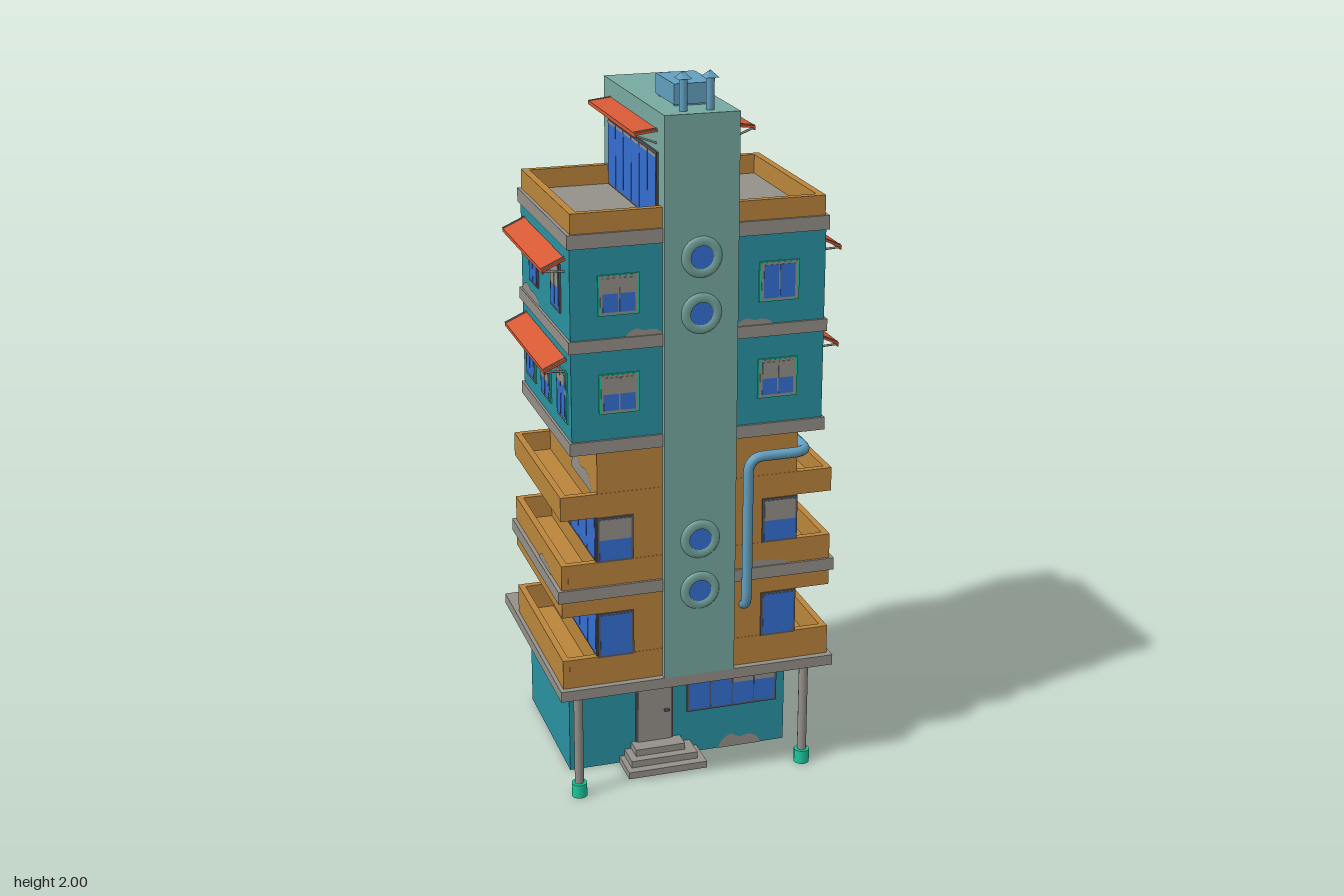
import * as THREE from 'three';

const mat = (name, color, side = THREE.FrontSide) => {
  const m = new THREE.MeshStandardMaterial({ color, side });
  m.name = name;
  return m;
};

export function createModel() {
  const orange = mat('ochre plaster', 0xbb863c);
  const teal = mat('teal plaster', 0x2a92a2, THREE.DoubleSide);
  const grey = mat('concrete', 0x95918a, THREE.DoubleSide);
  const sage = mat('pale sage plaster', 0x78aaa1);
  const red = mat('awning red', 0xd65a35);
  const glass = mat('window blue', 0x356fd2);
  const steel = mat('blue metal', 0x62a0c0);
  const green = mat('bright green', 0x1bc99c);
  const dark = mat('dark frame', 0x5a5a60);
  const deepBlue = mat('deep blue', 0x1236cc);

  const model = new THREE.Group();
  model.name = 'apartmentTower';

  const add = (name, geo, material, parent = model) => {
    const m = new THREE.Mesh(geo, material);
    m.name = name;
    parent.add(m);
    return m;
  };
  // Box given by its limits on each axis
  const box = (name, material, x0, x1, y0, y1, z0, z1, parent = model) => {
    const m = add(name, new THREE.BoxGeometry(x1 - x0, y1 - y0, z1 - z0), material, parent);
    m.position.set((x0 + x1) / 2, (y0 + y1) / 2, (z0 + z1) / 2);
    return m;
  };
  const group = (name, x, y, z, turn = 0) => {
    const g = new THREE.Group();
    g.name = name;
    g.position.set(x, y, z);
    g.rotation.y = turn;
    model.add(g);
    return g;
  };
  // Window facing its local +z; curtains holds the covered fraction of each pane
  const makeWindow = (name, x, y, z, turn, w, h, curtains, frame = dark, trim = null) => {
    const g = group(name, x, y, z, turn);
    if (trim) box('windowTrim', trim, -w / 2 - 0.006, w / 2 + 0.006, -h / 2 - 0.003, h / 2 + 0.003, -0.003, 0.003, g);
    box('windowFrame', frame, -w / 2, w / 2, -h / 2, h / 2, -0.004, 0.004, g);
    const n = curtains.length, step = (w - 0.008) / n;
    curtains.forEach((c, i) => {
      const a = -w / 2 + 0.006 + i * step, b = a + step - 0.004;
      const low = -h / 2 + 0.006, top = h / 2 - 0.006;
      box('pane', glass, a, b, low, top, -0.005, 0.005, g);
      if (c) box('curtain', grey, a, b, top - c * (top - low), top, -0.0058, 0.0058, g);
    });
    return g;
  };
  // Bare patch of wall with an uneven upper edge
  const patch = (x, y, z, turn, w, h) => {
    const s = new THREE.Shape();
    s.moveTo(-w / 2, 0);
    s.lineTo(w / 2, 0);
    s.splineThru([[0.4, 0.55], [0.2, 0.8], [0, 0.7], [-0.2, 1], [-0.4, 0.6], [-0.5, 0]]
      .map(([a, b]) => new THREE.Vector2(a * w, b * h)));
    const m = add('barePatch', new THREE.ShapeGeometry(s), grey);
    m.position.set(x, y, z);
    m.rotation.y = turn;
  };
  const R = Math.PI / 2, Z0 = -0.215, Z1 = 0.304;

  // Ground floor walls, open underneath
  const walls = new THREE.BoxGeometry(0.64, 0.32, 0.45);
  const faces = [...walls.index.array];
  faces.splice(18, 6);
  walls.setIndex(faces);
  walls.clearGroups();
  add('groundFloorWalls', walls, teal).position.set(0, 0.16, -0.095);
  box('groundFloorSlab', grey, -0.39, 0.39, 0.32, 0.35, -0.343, 0.322);

  // Columns with green feet
  for (const x of [-0.33, 0.325]) {
    add('column', new THREE.CylinderGeometry(0.013, 0.013, 0.32, 12), grey).position.set(x, 0.16, 0.27);
    add('columnFoot', new THREE.CylinderGeometry(0.022, 0.022, 0.04, 12), green).position.set(x, 0.02, 0.27);
  }

  // Entrance
  [[-0.175, 0.055, 0.23], [-0.16, 0.035, 0.205], [-0.14, 0.005, 0.18]].forEach(([a, b, z], i) =>
    box('step', grey, a, b, i * 0.02, (i + 1) * 0.02, 0.13, z));
  box('doorFrame', dark, -0.127, -0.017, 0.06, 0.247, 0.125, 0.135);
  box('door', grey, -0.12, -0.024, 0.06, 0.24, 0.123, 0.138);
  box('doorHandle', dark, -0.044, -0.03, 0.15, 0.156, 0.138, 0.147);
  makeWindow('shopWindow', 0.16, 0.195, 0.131, 0, 0.27, 0.125, [0, 0, 0.4, 0.4], dark);
  makeWindow('sideWindow', 0.321, 0.19, 0.06, R, 0.062, 0.12, [0.4, 0], grey);
  makeWindow('backStripWindow', -0.15, 0.2, -0.321, Math.PI, 0.25, 0.12, [0.3, 0.3, 0.3, 0.3, 0.3], dark);
  box('hangingPanelFrame', dark, 0.343, 0.356, 0.05, 0.278, -0.197, -0.12);
  box('hangingPanel', deepBlue, 0.342, 0.358, 0.058, 0.27, -0.19, -0.127);
  for (const y of [0.09, 0.24]) box('panelBracket', dark, 0.32, 0.345, y, y + 0.006, -0.162, -0.155);

  // Central tower
  box('coreTower', sage, -0.1, 0.1, 0.35, 1.9, -0.237, 0.322);
  for (const [z, s] of [[0.322, 1], [-0.237, -1]]) for (const y of [0.6, 0.75, 1.38, 1.53]) {
    const g = group('porthole', 0, y, z, s > 0 ? 0 : Math.PI);
    const ring = new THREE.LatheGeometry([[0.031, 0], [0.031, 0.007], [0.05, 0.007], [0.055, 0]]
      .map(p => new THREE.Vector2(...p)).reverse(), 28);
    add('portholeRing', ring, sage, g).rotation.x = R;
    add('portholeGlass', new THREE.CircleGeometry(0.031, 28), glass, g).position.z = 0.003;
  }

  // Lower residential body and its balconies
  box('lowerBody', orange, -0.279, 0.279, 0.35, 1.02, Z0, Z1);
  box('balconyBand', grey, -0.39, 0.39, 0.605, 0.64, Z0 - 0.007, Z1 + 0.007);
  const t = 0.018;
  for (const s of [-1, 1]) {
    const lim = (a, b) => s > 0 ? [a, b] : [-b, -a];
    for (const [base, floor, top] of [[0.35, 0.36, 0.433], [0.56, 0.645, 0.71], [0.838, 0.85, 0.905]]) {
      box('balconyFloor', orange, ...lim(0.27, 0.379), base, floor, Z0, Z1);
      box('balconyRail', orange, ...lim(0.379 - t, 0.379), floor, top, Z0, Z1);
      box('balconyEnd', orange, ...lim(0.1, 0.379 - t), floor, top, Z1 - t, Z1 + 0.001);
      box('balconyEnd', orange, ...lim(0.1, 0.379 - t), floor, top, Z0 - 0.001, Z0 + t);
    }
    // Corner glazing
    [[0.495, 0.13, [0, 0, 0, 0.12, 0.3, 0.4], 0], [0.773, 0.128, [0, 0, 0.12, 0, 0, 0.5], 0.5]].forEach(([y, h, c, f]) => {
      makeWindow('balconyWindow', s * 0.28, y, 0.0445, s * R, 0.51, h, s > 0 ? c : [...c].reverse());
      makeWindow('cornerWindow', s * 0.231, y, Z1, 0, 0.1, h, [f]);
      makeWindow('cornerWindow', s * 0.231, y, Z0, Math.PI, 0.1, h, [f]);
    });
  }

  // Upper block with concrete bands
  box('upperBlock', teal, -0.345, 0.345, 1.03, 1.6, Z0, Z1);
  for (const [a, b] of [[1.02, 1.055], [1.297, 1.33], [1.572, 1.61]])
    box('concreteBand', grey, -0.352, 0.352, a, b, Z0 - 0.007, Z1 + 0.007);

  // Roof parapet
  for (const s of [-1, 1]) box('parapetSide', orange, s * 0.332 - 0.01, s * 0.332 + 0.01, 1.61, 1.663, Z0, Z1);
  for (const z of [Z0 + 0.01, Z1 - 0.01]) box('parapetEnd', orange, -0.325, 0.325, 1.61, 1.663, z - 0.01, z + 0.01);

  // Upper windows on front, back and both sides
  for (const s of [-1, 1]) {
    for (const [y, c] of [[1.445, s < 0 ? [0.45, 0.45] : [0, 0]], [1.18, [0.5, 0.5]]]) {
      makeWindow('frontWindow', s * 0.217, y, Z1 + 0.001, 0, 0.098, 0.102, c, grey, green);
      makeWindow('backWindow', s * 0.217, y, Z0 - 0.001, Math.PI, 0.098, 0.102, c, grey, green);
    }
    for (const [z, c] of [[0.17, 0.5], [-0.067, 0.5]])
      makeWindow('sideWindow', s * 0.346, 1.445, z, s * R, 0.092, 0.13, [c, c], dark);
    for (const [z, c] of [[0.218, 0.25], [0.045, 0.65], [-0.123, 0.3]])
      makeWindow('sideWindow', s * 0.346, 1.165, z, s * R, 0.092, 0.135, [c, c], grey, green);
    makeWindow('penthouseWindow', s * 0.101, 1.705, 0.045, s * R, 0.455, 0.185, [0.05, 0.05, 0.05, 0.05, 0.05, 0.05], dark);
  }

  // Awnings: sloping sheet with a rod at each end
  const awning = (s, x, y, reach, drop) => {
    const g = group('awning', s * x, y, 0.042, s > 0 ? 0 : Math.PI);
    if (s < 0) g.position.z = 0.042;
    const sheet = add('awningSheet', new THREE.BoxGeometry(Math.hypot(reach, drop), 0.006, 0.446), red, g);
    sheet.position.set(reach / 2, -drop / 2, 0);
    sheet.rotation.z = -Math.atan2(drop, reach);
    box('awningLip', red, reach - 0.004, reach, -drop - 0.008, -drop + 0.002, -0.223, 0.223, g);
    for (const z of [-0.212, 0.212]) {
      const curve = new THREE.LineCurve3(new THREE.Vector3(0, -0.034, z), new THREE.Vector3(reach - 0.002, -drop - 0.004, z));
      add('awningStrut', new THREE.TubeGeometry(curve, 1, 0.003, 6), grey, g);
      const rod = add('awningRod', new THREE.BoxGeometry(Math.hypot(reach, drop), 0.002, 0.006), grey, g);
      rod.position.set(reach / 2, -drop / 2 + 0.004, z);
      rod.rotation.z = sheet.rotation.z;
    }
  };
  for (const s of [-1, 1]) {
    awning(s, 0.345, 1.537, 0.06, 0.027);
    awning(s, 0.345, 1.269, 0.06, 0.027);
    awning(s, 0.1, 1.851, 0.06, 0.007);
  }

  // Drain pipes, the second turned half way round the building
  const path = new THREE.CurvePath();
  const pts = [[0.302, 1.025, 0.16], [0.302, 0.97, 0.17], [0.302, 0.97, 0.328], [0.132, 0.97, 0.328],
    [0.132, 0.545, 0.328], [0.132, 0.53, 0.295]].map(p => new THREE.Vector3(...p));
  let from = pts[0];
  for (let i = 1; i < pts.length - 1; i++) {
    const cut = (q) => pts[i].clone().lerp(q, Math.min(0.45, 0.045 / pts[i].distanceTo(q)));
    const a = cut(pts[i - 1]), b = cut(pts[i + 1]);
    path.add(new THREE.LineCurve3(from, a));
    path.add(new THREE.QuadraticBezierCurve3(a, pts[i], b));
    from = b;
  }
  path.add(new THREE.LineCurve3(from, pts[pts.length - 1]));
  const pipe = new THREE.TubeGeometry(path, 120, 0.014, 10);
  add('drainPipe', pipe, steel);
  const backPipe = add('drainPipe', pipe, steel);
  backPipe.rotation.y = Math.PI;
  backPipe.position.z = 0.089;

  // Rooftop unit and chimneys
  box('rooftopUnit', steel, -0.045, 0.061, 1.905, 1.958, 0.064, 0.225);
  for (const z of [0.075, 0.2]) box('unitFoot', steel, -0.04, 0.056, 1.9, 1.906, z, z + 0.015);
  for (const x of [-0.038, 0.033]) {
    add('chimney', new THREE.CylinderGeometry(0.011, 0.011, 0.085, 10), steel).position.set(x, 1.9425, 0.28);
    const cap = add('chimneyCap', new THREE.ConeGeometry(0.026, 0.018, 4), steel);
    cap.position.set(x, 1.991, 0.28);
    cap.rotation.y = Math.PI / 4;
  }

  // Worn plaster
  patch(0.185, 0, 0.132, 0, 0.13, 0.04);
  patch(0.322, 0, -0.06, R, 0.25, 0.055);
  patch(0.2, 0.64, Z1 + 0.003, 0, 0.12, 0.02);
  for (const s of [-1, 1]) {
    patch(s * 0.281, 0.89, 0.15, s * R, 0.22, 0.055);
    patch(s * 0.381, 0.64, 0.13, s * R, 0.13, 0.025);
    patch(s * 0.347, 1.33, -0.11, s * R, 0.2, 0.03);
    patch(s * 0.15, 1.33, Z1 + 0.003, 0, 0.1, 0.02);
  }
  return model;
}
